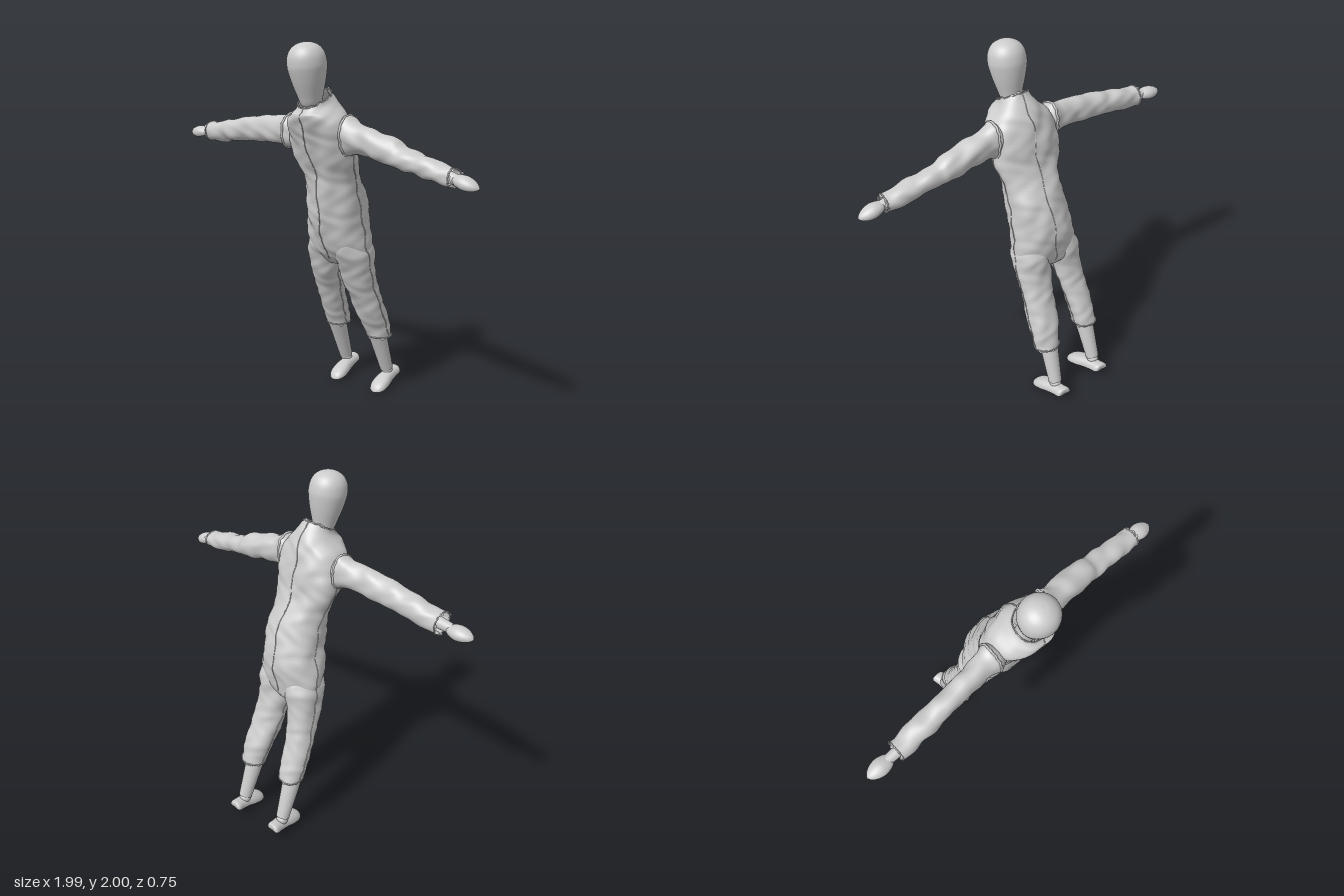
import * as THREE from 'three';

const X = new THREE.Vector3(1, 0, 0);
const Y = new THREE.Vector3(0, 1, 0);
const Z = new THREE.Vector3(0, 0, 1);
const solid = new THREE.MeshStandardMaterial({ color: 0xcccccc });
const cloth = new THREE.MeshStandardMaterial({ color: 0xcccccc, side: THREE.DoubleSide });

const catmull = (a, b, c, d, t) =>
  0.5 * (2 * b + (c - a) * t + (2 * a - 5 * b + 4 * c - d) * t * t + (3 * b - a - 3 * c + d) * t * t * t);

// Smooth blend between the rows of a cross-section list, t in 0..1
function blend(rows, t) {
  const last = rows.length - 1;
  const i = Math.min(Math.floor(t * last), last - 1);
  const f = t * last - i;
  const row = k => rows[Math.max(0, Math.min(last, k))];
  return rows[i].map((_, k) => catmull(row(i - 1)[k], row(i)[k], row(i + 1)[k], row(i + 2)[k], f));
}

// Soft, irregular cloth folds
const folds = p =>
  Math.sin(p.y * 23 + 3 * Math.sin(p.x * 13 + p.z * 9)) * Math.sin(p.x * 17 - p.z * 21 + p.y * 6) * 0.6 +
  Math.sin(p.x * 41 + 2 * Math.sin(p.y * 29)) * Math.sin(p.z * 37 + p.y * 31) * 0.4;

// Rows are [x, y, z, half size along U, half size along V, drop towards +U]
function makeSurface(rows, U, V, { wrinkle = 0, box = 1, floor = -1, frayed = 0 } = {}) {
  const W = new THREE.Vector3().crossVectors(U, V);
  const pow = v => Math.sign(v) * Math.abs(v) ** box;
  const point = (t, angle) => {
    const [x, y, z, a, b, drop = 0] = blend(rows, t);
    const c = pow(Math.cos(angle));
    const s = Math.max(floor, pow(Math.sin(angle)));
    const p = new THREE.Vector3(x, y, z);
    const bump = wrinkle * folds(p.clone().addScaledVector(U, c * a).addScaledVector(V, s * b));
    p.addScaledVector(U, c * (a + bump)).addScaledVector(V, s * (b + bump));
    p.y -= drop * c;
    if (t > 0.985) p.addScaledVector(W, frayed * (Math.sin(angle * 5) + Math.sin(angle * 11 + 1)));
    return p;
  };
  const first = rows[0], end = rows[rows.length - 1];
  const along = new THREE.Vector3(end[0] - first[0], end[1] - first[1], end[2] - first[2]);
  return { point, flip: along.dot(W) < 0 };
}

function skin(name, surface, material, rings = 60, sides = 48) {
  const pos = [], idx = [];
  for (let i = 0; i <= rings; i++)
    for (let j = 0; j < sides; j++)
      pos.push(...surface.point(i / rings, (j / sides) * Math.PI * 2).toArray());
  for (let i = 0; i < rings; i++)
    for (let j = 0; j < sides; j++) {
      const a = i * sides + j, b = i * sides + (j + 1) % sides, c = a + sides, d = b + sides;
      idx.push(...(surface.flip ? [a, c, b, b, c, d] : [a, b, c, b, d, c]));
    }
  const g = new THREE.BufferGeometry();
  g.setAttribute('position', new THREE.Float32BufferAttribute(pos, 3));
  g.setIndex(idx);
  g.computeVertexNormals();
  const mesh = new THREE.Mesh(g, material);
  mesh.name = name;
  return mesh;
}

// Raised seam that follows a surface lengthwise
function seam(name, surface, angle, from = 0, to = 0.98) {
  const pts = [];
  for (let i = 0; i <= 40; i++)
    pts.push(surface.point(from + (to - from) * i / 40, angle + 0.03 * Math.sin(i * 0.7)));
  const mesh = new THREE.Mesh(new THREE.TubeGeometry(new THREE.CatmullRomCurve3(pts), 80, 0.003, 5), solid);
  mesh.name = name;
  return mesh;
}

// Raised seam around a surface
function ringSeam(name, surface, t, radius = 0.004) {
  const pts = [];
  for (let i = 0; i < 32; i++) pts.push(surface.point(t + 0.006 * Math.sin(i * 2.3), i / 32 * Math.PI * 2));
  const mesh = new THREE.Mesh(new THREE.TubeGeometry(new THREE.CatmullRomCurve3(pts, true), 96, radius, 5, true), solid);
  mesh.name = name;
  return mesh;
}

// Tapered round limb between two points
function limb(name, a, b, ra, rb) {
  const A = new THREE.Vector3(...a), B = new THREE.Vector3(...b);
  const mesh = new THREE.Mesh(new THREE.CylinderGeometry(rb, ra, A.distanceTo(B), 28), solid);
  mesh.position.copy(A).lerp(B, 0.5);
  mesh.quaternion.setFromUnitVectors(Y, B.sub(A).normalize());
  mesh.name = name;
  return mesh;
}

function ball(name, at, r) {
  const mesh = new THREE.Mesh(new THREE.SphereGeometry(r, 24, 16), solid);
  mesh.position.set(...at);
  mesh.name = name;
  return mesh;
}

// Row of the body or a leg from extents: height, x range, z range, drop
const slab = ([y, x0, x1, z0, z1, drop = 0]) => [(x0 + x1) / 2, y, (z0 + z1) / 2, (z1 - z0) / 2, (x1 - x0) / 2, drop];
// Row of a sleeve: x, y range, z range
const cut = ([x, y0, y1, z0, z1]) => [x, (y0 + y1) / 2, (z0 + z1) / 2, (y1 - y0) / 2, (z1 - z0) / 2];
// Rows along a straight line: fraction, two half sizes
const line = (from, to, rows) => rows.map(([f, a, b]) => [...from.map((v, k) => v + (to[k] - v) * f), a, b]);

export function createModel() {
  const model = new THREE.Group();

  // Head and neck
  const egg = [[0, 0], [0.034, 0.004], [0.054, 0.03], [0.068, 0.075], [0.087, 0.14], [0.1, 0.2],
    [0.103, 0.235], [0.096, 0.28], [0.074, 0.315], [0.038, 0.336], [0, 0.342]].map(p => new THREE.Vector2(...p));
  const profile = new THREE.SplineCurve(egg).getPoints(50);
  profile.forEach(p => { p.x = Math.max(0, p.x); });
  const head = new THREE.Mesh(new THREE.LatheGeometry(profile, 48), solid);
  head.name = 'head';
  head.position.set(0.025, 1.662, 0.24);
  head.rotation.x = 0.14;
  model.add(head, limb('neck', [0.025, 1.55, 0.2], [0.025, 1.71, 0.243], 0.055, 0.045));

  // Body of the overall, from crotch to raised collar
  const torso = makeSurface([
    [0.79, -0.10, 0.08, -0.10, 0.04], [0.83, -0.19, 0.17, -0.125, 0.08], [0.9, -0.20, 0.19, -0.138, 0.125],
    [1.0, -0.18, 0.185, -0.145, 0.16], [1.1, -0.155, 0.18, -0.13, 0.188], [1.2, -0.145, 0.18, -0.095, 0.20],
    [1.3, -0.15, 0.19, -0.04, 0.212], [1.4, -0.18, 0.218, 0.005, 0.25], [1.5, -0.185, 0.22, 0.02, 0.285],
    [1.59, -0.165, 0.205, 0.045, 0.315, 0.01], [1.65, -0.11, 0.165, 0.075, 0.332, 0.02],
    [1.69, -0.06, 0.12, 0.11, 0.325, 0.04], [1.72, -0.05, 0.105, 0.135, 0.31, 0.045],
  ].map(slab), Z, X, { wrinkle: 0.009, box: 0.92, frayed: 0.004 });
  model.add(skin('overallBody', torso, cloth, 80, 64), seam('frontSeam', torso, 0, 0.08),
    seam('backSeam', torso, Math.PI, 0.08), seam('leftSideSeam', torso, Math.PI / 2, 0.08, 0.65),
    seam('rightSideSeam', torso, -Math.PI / 2, 0.08, 0.65), ringSeam('collarEdge', torso, 0.98));

  // Trouser legs, shins, ankles and feet
  const legs = {
    left: {
      rows: [[0.97, 0.03, 0.155, -0.09, 0.11], [0.88, -0.005, 0.19, -0.135, 0.108], [0.78, -0.012, 0.192, -0.138, 0.065],
        [0.68, -0.003, 0.19, -0.155, 0.02], [0.58, 0.003, 0.19, -0.193, -0.028], [0.45, 0.022, 0.19, -0.245, -0.085],
        [0.38, 0.033, 0.19, -0.263, -0.12], [0.33, 0.038, 0.19, -0.277, -0.143]],
      knee: [0.098, 0.42, -0.18], ankle: [0.108, 0.1, -0.288], heel: [0.103, 0.058, -0.375], toe: [0.138, 0, -0.135],
    },
    right: {
      rows: [[0.97, -0.145, -0.03, -0.09, 0.11], [0.88, -0.203, -0.02, -0.135, 0.11], [0.78, -0.217, -0.032, -0.13, 0.075],
        [0.68, -0.224, -0.058, -0.145, 0.035], [0.58, -0.233, -0.083, -0.172, -0.01], [0.45, -0.243, -0.1, -0.218, -0.067],
        [0.39, -0.248, -0.105, -0.235, -0.095], [0.35, -0.25, -0.106, -0.245, -0.112]],
      knee: [-0.178, 0.42, -0.145], ankle: [-0.19, 0.11, -0.258], heel: [-0.195, 0.063, -0.345], toe: [-0.145, 0.01, -0.093],
    },
  };
  for (const [side, { rows, knee, ankle, heel, toe }] of Object.entries(legs)) {
    const trouser = makeSurface(rows.map(slab), Z, X, { wrinkle: 0.008, box: 0.9, frayed: 0.006 });
    const outer = side === 'left' ? 1 : -1;
    model.add(skin(side + 'TrouserLeg', trouser, cloth),
      seam(side + 'OuterLegSeam', trouser, outer * Math.PI / 2, 0.14),
      seam(side + 'InnerLegSeam', trouser, -outer * Math.PI / 2, 0.3),
      ringSeam(side + 'TrouserHem', trouser, 0.97),
      limb(side + 'Shin', ankle, knee, 0.038, 0.058),
      ball(side + 'Ankle', [ankle[0], ankle[1] - 0.018, ankle[2] - 0.004], 0.033));
    const footRows = line(heel, toe, [[0, 0, 0], [0.005, 0.04, 0.034], [0.2, 0.042, 0.045], [0.4, 0.045, 0.05],
      [0.6, 0.053, 0.05], [0.8, 0.052, 0.042], [0.94, 0.034, 0.026], [1, 0, 0]]);
    model.add(skin(side + 'Foot', makeSurface(footRows, X, Y, { floor: 0, box: 0.85 }), solid, 56, 32));
  }

  // Sleeves, wrists and hands
  const arms = {
    left: {
      rows: [[0.16, 1.43, 1.6, 0.09, 0.22], [0.205, 1.425, 1.635, 0.08, 0.225], [0.26, 1.445, 1.605, 0.082, 0.22],
        [0.36, 1.43, 1.578, 0.075, 0.213], [0.5, 1.4, 1.54, 0.07, 0.206], [0.56, 1.395, 1.508, 0.078, 0.202],
        [0.7, 1.37, 1.475, 0.076, 0.196], [0.8, 1.352, 1.45, 0.076, 0.193], [0.86, 1.345, 1.435, 0.077, 0.19]],
      wrist: [[0.78, 1.4, 0.138], [0.885, 1.382, 0.139]], palm: [0.85, 1.388, 0.139], tip: [0.992, 1.357, 0.139],
    },
    right: {
      rows: [[-0.14, 1.45, 1.59, 0.12, 0.25], [-0.185, 1.438, 1.63, 0.105, 0.262], [-0.24, 1.452, 1.608, 0.125, 0.252],
        [-0.36, 1.452, 1.6, 0.138, 0.256], [-0.5, 1.442, 1.582, 0.145, 0.262], [-0.57, 1.438, 1.568, 0.148, 0.266],
        [-0.7, 1.427, 1.55, 0.152, 0.272], [-0.78, 1.42, 1.535, 0.155, 0.276], [-0.82, 1.415, 1.53, 0.155, 0.277]],
      wrist: [[-0.74, 1.475, 0.217], [-0.875, 1.467, 0.219]], palm: [-0.85, 1.463, 0.22], tip: [-1, 1.459, 0.22],
    },
  };
  for (const [side, { rows, wrist, palm, tip }] of Object.entries(arms)) {
    const sleeve = makeSurface(rows.map(cut), Y, Z, { wrinkle: 0.009, box: 0.92, frayed: 0.006 });
    model.add(skin(side + 'Sleeve', sleeve, cloth), ringSeam(side + 'ShoulderSeam', sleeve, 0.12, 0.007),
      ringSeam(side + 'Cuff', sleeve, 0.97), seam(side + 'UnderarmSeam', sleeve, Math.PI, 0.12),
      limb(side + 'Wrist', ...wrist, 0.034, 0.026));
    const handRows = line(palm, tip, [[0, 0, 0], [0.05, 0.026, 0.02], [0.2, 0.04, 0.031], [0.45, 0.047, 0.038],
      [0.7, 0.04, 0.032], [0.9, 0.022, 0.018], [1, 0, 0]]);
    model.add(skin(side + 'Hand', makeSurface(handRows, Z, Y, { floor: -0.65 }), solid, 40, 32));
  }
  return model;
}
